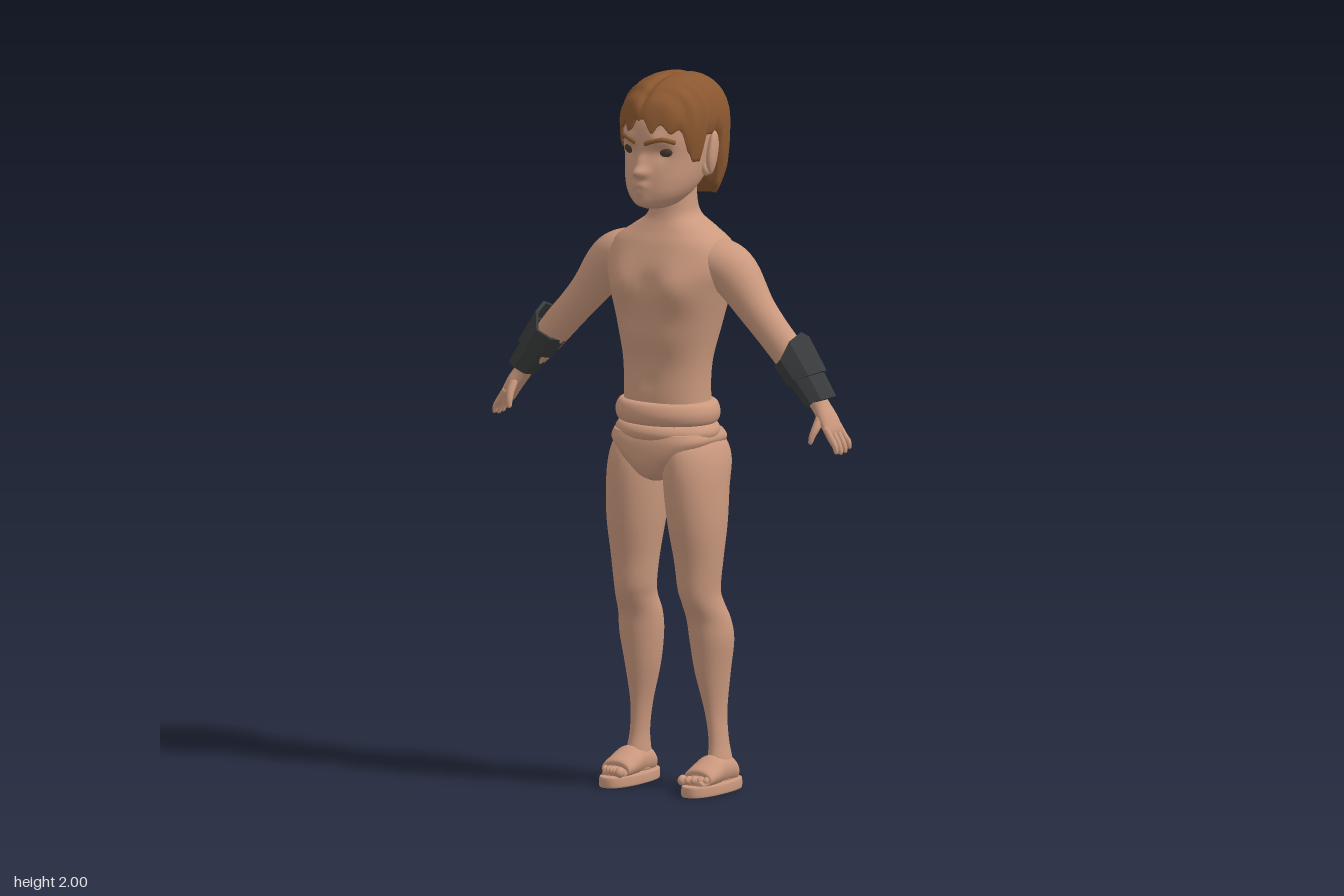
import * as THREE from 'three';

const mat = (name, color, side = THREE.FrontSide) => {
  const m = new THREE.MeshStandardMaterial({ color, side });
  m.name = name;
  return m;
};

// Turns the faces of a closed surface outward
function outward(geo) {
  const p = geo.attributes.position, ix = geo.index.array;
  const [a, b, c] = [0, 1, 2].map(() => new THREE.Vector3());
  let volume = 0;
  for (let i = 0; i < ix.length; i += 3) {
    a.fromBufferAttribute(p, ix[i]); b.fromBufferAttribute(p, ix[i + 1]); c.fromBufferAttribute(p, ix[i + 2]);
    volume += a.dot(b.cross(c));
  }
  if (volume < 0) for (let i = 0; i < ix.length; i += 3) [ix[i], ix[i + 1]] = [ix[i + 1], ix[i]];
  geo.computeVertexNormals();
  return geo;
}

// Skins a list of closed rings of points, with optional end caps
function skin(rings, caps = true) {
  const n = rings[0].length, pos = [], idx = [];
  rings.forEach(r => r.forEach(q => pos.push(...q)));
  for (let i = 0; i < rings.length - 1; i++) for (let j = 0; j < n; j++) {
    const a = i * n + j, b = i * n + (j + 1) % n;
    idx.push(a, b, a + n, b, b + n, a + n);
  }
  if (caps) [0, rings.length - 1].forEach((r, e) => {
    const c = pos.length / 3;
    pos.push(...[0, 1, 2].map(k => rings[r].reduce((s, q) => s + q[k], 0) / n));
    for (let j = 0; j < n; j++) {
      const a = r * n + j, b = r * n + (j + 1) % n;
      if (e) idx.push(a, b, c); else idx.push(b, a, c);
    }
  });
  const g = new THREE.BufferGeometry();
  g.setAttribute('position', new THREE.Float32BufferAttribute(pos, 3));
  g.setIndex(idx);
  return outward(g);
}

// Smoothly interpolates rows of numbers
function smooth(rows, steps) {
  const out = [], at = i => rows[Math.max(0, Math.min(rows.length - 1, i))];
  for (let i = 0; i < rows.length - 1; i++) for (let s = 0; s < steps; s++) {
    const t = s / steps, [a, b, c, d] = [at(i - 1), at(i), at(i + 1), at(i + 2)];
    out.push(b.map((v, k) => 0.5 * (2 * v + (c[k] - a[k]) * t + (2 * a[k] - 5 * v + 4 * c[k] - d[k]) * t * t
      + (3 * v - a[k] - 3 * c[k] + d[k]) * t ** 3)));
  }
  return [...out, at(rows.length - 1)];
}

// Loft of rounded sections [x, y, z, radiusU, radiusV]; frame is 'y', 'z' or 'limb'
function loft(sections, frame = 'y', { n = 28, steps = 5, pow = 2 } = {}) {
  const rows = smooth(sections, steps);
  return skin(rows.map(([x, y, z, ru, rv], i) => {
    const a = rows[Math.max(0, i - 1)], b = rows[Math.min(rows.length - 1, i + 1)];
    const dx = b[0] - a[0], dy = b[1] - a[1], l = Math.hypot(dx, dy) || 1;
    return Array.from({ length: n }, (_, j) => {
      const t = j / n * Math.PI * 2, c = Math.cos(t), s = Math.sin(t);
      const u = ru * Math.sign(c) * Math.abs(c) ** (2 / pow), v = rv * Math.sign(s) * Math.abs(s) ** (2 / pow);
      if (frame === 'y') return [x + u, y, z + v];
      if (frame === 'z') return [x + u, y + v, z];
      return [x - u * dy / l, y + u * dx / l, z + v];
    });
  }));
}

// Upright loft from rows [y, xInner, xOuter, zFront, zBack]
const upright = (rows, opt) => loft(rows.map(([y, x0, x1, f, b]) =>
  [(x0 + x1) / 2, y, (f + b) / 2, (x1 - x0) / 2, (f - b) / 2]), 'y', opt);
const centred = (rows, opt) => upright(rows.map(([y, w, f, b]) => [y, -w, w, f, b]), opt);

// Soft pushes along z: [x, y, z, radius, amount], mirrored in x
function sculpt(geo, bumps) {
  const p = geo.attributes.position;
  const all = bumps.flatMap(b => b[0] ? [b, [-b[0], ...b.slice(1)]] : [b]);
  for (let i = 0; i < p.count; i++) {
    const [x, y, z] = [p.getX(i), p.getY(i), p.getZ(i)];
    let dz = 0;
    for (const [bx, by, bz, r, k] of all)
      dz += k * Math.exp(-((x - bx) ** 2 + (y - by) ** 2 + (z - bz) ** 2) / (r * r));
    p.setZ(i, z + dz);
  }
  geo.computeVertexNormals();
  return geo;
}

const blob = (x, y, z, rx, ry, rz) => new THREE.SphereGeometry(1, 20, 14).scale(rx, ry, rz).translate(x, y, z);

// Faceted cuff with a pointed outer edge; s and e are distances along the forearm
function cuff(s, e, grow, peak) {
  const L = 0.145, t = [0.6, -0.8], u = [0.8, 0.6];
  const ring = (d, g, tip) => Array.from({ length: 8 }, (_, j) => {
    const a = j / 8 * Math.PI * 2, r = 0.053 - 0.012 * d / L + g, c = Math.cos(a);
    const m = d - tip * Math.max(0, c);
    return [0.405 + t[0] * m + u[0] * r * c, 1.247 + t[1] * m + u[1] * r * c, 0.004 + (r + 0.01) * Math.sin(a)];
  });
  const rings = [ring(s, grow - 0.01, peak), ring(s, grow, peak), ring(e, grow, -0.012), ring(e, grow - 0.01, -0.012)];
  const g = skin([...rings, rings[0]], false).toNonIndexed();
  g.computeVertexNormals();
  return g;
}

// Wavy hair with a fringe, sideburns and a long back
function hairGeometry() {
  const edge = [[0, 1.895], [0.3, 1.865], [0.6, 1.87], [0.9, 1.845], [1.1, 1.77], [1.27, 1.77], [1.4, 1.84],
    [1.75, 1.84], [1.9, 1.69], [2.3, 1.655], [3.15, 1.645]];
  const low = a => {
    const k = edge.findIndex(q => q[0] > a), [p, q] = [edge[k - 1], edge[k]];
    return p[1] + (q[1] - p[1]) * (a - p[0]) / (q[0] - p[0]) + (a < 1 ? 0.012 * Math.sin(a * 17) : 0);
  };
  const N = 120, R = 40, rings = [];
  for (let i = 0; i <= R + 1; i++) rings.push(Array.from({ length: N }, (_, j) => {
    const t = j / N * Math.PI * 2, a = Math.min(t, Math.PI * 2 - t), v = Math.max(0.02, Math.min(1, i / R));
    let y = 2 - (2 - low(a)) * v ** 1.7;
    let s = y > 1.85 ? (1 - ((y - 1.85) / 0.151) ** 2.3) ** (1 / 2.3) : 1 - 0.12 * ((1.85 - y) / 0.2) ** 1.5;
    const back = (1 - Math.cos(a)) / 2;
    s *= 1 - (0.02 + 0.2 * back * back) * Math.max(0, (v - 0.82) / 0.18) ** 2;
    let x = 0.135 * s * Math.sin(t), z = -0.007 + 0.182 * s * Math.cos(t);
    const wave = 1 + 0.022 * Math.sin(z * 160 + Math.abs(x) * 75 + y * 30) * Math.min(1, s * 1.3);
    if (y > 1.85) y -= 0.008 * Math.exp(-((x / 0.012) ** 2));
    const k = i > R ? 0.8 : wave;
    return [x * k, y + (i > R ? 0.012 : 0), z * k];
  }));
  return skin(rings);
}

export function createModel() {
  const model = new THREE.Group();
  const skinTone = mat('skin', 0xcb997e), hair = mat('hair brown', 0x8a5730, THREE.DoubleSide);
  const dark = mat('cuff charcoal', 0x3a3b3c, THREE.DoubleSide), eye = mat('eye brown', 0x4a3a30);
  const add = (name, geo, m = skinTone) => {
    const mesh = new THREE.Mesh(geo, m);
    mesh.name = name;
    model.add(mesh);
  };
  const pair = (name, geo, m) => {
    const g = geo.clone().scale(-1, 1, 1);
    if (!g.index) g.setIndex([...Array(g.attributes.position.count).keys()]);
    const ix = g.index.array;
    for (let i = 0; i < ix.length; i += 3) [ix[i], ix[i + 1]] = [ix[i + 1], ix[i]];
    add(name + 'Left', geo, m);
    add(name + 'Right', g, m);
  };

  // Torso and neck
  add('torso', sculpt(centred([[1.0, 0.13, 0.12, -0.08], [1.1, 0.124, 0.125, -0.07], [1.2, 0.13, 0.118, -0.066],
    [1.3, 0.15, 0.13, -0.095], [1.4, 0.175, 0.137, -0.115], [1.47, 0.192, 0.128, -0.12], [1.53, 0.175, 0.105, -0.115],
    [1.57, 0.12, 0.082, -0.1], [1.605, 0.072, 0.066, -0.08], [1.65, 0.062, 0.06, -0.066], [1.72, 0.062, 0.06, -0.066]],
  { n: 56, steps: 6, pow: 2.3 }), [[0.085, 1.42, 0.12, 0.06, 0.022], [0, 1.43, 0.13, 0.03, -0.006],
    [0, 1.4, -0.12, 0.06, 0.015], [0.05, 1.27, 0.13, 0.05, 0.006], [0, 1.15, 0.12, 0.02, -0.006]]));

  // Waistband rolls and briefs
  for (const [name, top, h] of [['waistbandUpper', 1.095, 0.066], ['waistbandLower', 1.035, 0.05]])
    add(name, centred([[top, 0.12, 0.12, -0.07], [top - 0.006, 0.142, 0.143, -0.093], [top - h / 2, 0.152, 0.154, -0.102],
      [top - h + 0.006, 0.144, 0.146, -0.096], [top - h, 0.12, 0.12, -0.07]], { n: 40 }));
  add('briefs', centred([[1.01, 0.143, 0.14, -0.095], [0.985, 0.15, 0.15, -0.112], [0.95, 0.12, 0.155, -0.118],
    [0.92, 0.08, 0.152, -0.11], [0.89, 0.045, 0.135, -0.085], [0.872, 0.022, 0.1, -0.04]], { n: 40, pow: 3 }));

  // Legs
  pair('leg', upright([[1.0, 0.03, 0.135, 0.1, -0.07], [0.97, 0.02, 0.155, 0.13, -0.1], [0.92, 0.012, 0.17, 0.141, -0.108],
    [0.85, 0.015, 0.176, 0.138, -0.085], [0.75, 0.025, 0.178, 0.125, -0.065], [0.65, 0.04, 0.17, 0.105, -0.045],
    [0.57, 0.05, 0.162, 0.096, -0.038], [0.53, 0.056, 0.164, 0.084, -0.05], [0.48, 0.055, 0.172, 0.06, -0.074],
    [0.42, 0.058, 0.175, 0.05, -0.086], [0.33, 0.07, 0.162, 0.034, -0.08], [0.22, 0.097, 0.15, 0.012, -0.068],
    [0.14, 0.107, 0.155, 0.006, -0.066], [0.08, 0.105, 0.165, 0.015, -0.075], [0.03, 0.105, 0.165, 0.015, -0.075]]));

  // Feet, toes and sandals
  const along = rows => loft(rows.map(([z, r, top]) => [0.136, (top + 0.02) / 2, z, r, (top - 0.02) / 2]), 'z');
  pair('foot', along([[-0.092, 0.015, 0.06], [-0.08, 0.03, 0.08], [-0.05, 0.036, 0.1], [0, 0.037, 0.1],
    [0.05, 0.041, 0.075], [0.085, 0.04, 0.056], [0.105, 0.03, 0.045]]));
  for (let i = 0; i < 5; i++)
    pair('toe' + i, blob(0.104 + i * 0.016, 0.045, 0.108 - i * 0.007, i ? 0.009 : 0.012, i ? 0.012 : 0.015, 0.017));
  pair('sandalStrap', along([[0.012, 0.04, 0.09], [0.015, 0.047, 0.104], [0.05, 0.049, 0.088],
    [0.08, 0.047, 0.073], [0.083, 0.04, 0.06]]));
  pair('sandalSole', upright([[0.002, 0.095, 0.178, 0.128, -0.103], [0.004, 0.088, 0.185, 0.135, -0.11],
    [0.028, 0.088, 0.185, 0.135, -0.11], [0.032, 0.093, 0.18, 0.13, -0.105]], { n: 36, pow: 2.4 }));

  // Arms with palms, fingers and thumbs
  pair('arm', loft([[0.08, 1.5, -0.005, 0.05, 0.07], [0.15, 1.483, -0.005, 0.066, 0.078], [0.205, 1.452, -0.003, 0.068, 0.07],
    [0.275, 1.368, 0, 0.054, 0.052], [0.33, 1.308, 0, 0.049, 0.046], [0.385, 1.25, 0, 0.047, 0.044], [0.44, 1.185, 0.003, 0.04, 0.04],
    [0.485, 1.127, 0.004, 0.026, 0.028], [0.515, 1.088, 0.006, 0.022, 0.037], [0.536, 1.054, 0.006, 0.016, 0.04],
    [0.543, 1.04, 0.006, 0.008, 0.034]], 'limb'));
  [0.038, 0.017, -0.005, -0.026].forEach((z, i) => {
    const d = [0.004, 0, 0.002, 0.01][i];
    pair('finger' + i, loft([[0.53, 1.065, z, 0.009, 0.009], [0.55, 1.035, z, 0.01, 0.009],
      [0.564, 1.01 + d, z, 0.0085, 0.008], [0.568, 0.993 + d, z, 0.006, 0.006], [0.568, 0.989 + d, z, 0.001, 0.001]],
    'limb', { n: 10, steps: 3 }));
  });
  pair('thumb', loft([[0.508, 1.095, 0.026, 0.012, 0.013], [0.508, 1.065, 0.047, 0.012, 0.013], [0.503, 1.04, 0.061, 0.009, 0.009],
    [0.5, 1.022, 0.065, 0.006, 0.006], [0.499, 1.018, 0.066, 0.001, 0.001]], 'limb', { n: 10, steps: 3 }));

  // Forearm cuffs
  pair('cuffLower', cuff(0.03, 0.145, 0, 0.02), dark);
  pair('cuffUpper', cuff(0, 0.07, 0.007, 0.042), dark);

  // Head with sculpted nose, sockets, brows, lips and chin
  add('head', sculpt(centred([[1.637, 0.03, 0.125, 0.02], [1.65, 0.055, 0.15, 0], [1.68, 0.083, 0.16, -0.04],
    [1.72, 0.1, 0.16, -0.08], [1.78, 0.11, 0.154, -0.11], [1.84, 0.115, 0.158, -0.12], [1.9, 0.11, 0.145, -0.12],
    [1.95, 0.075, 0.09, -0.08]], { n: 96, steps: 10, pow: 2.2 }), [
    [0, 1.747, 0.16, 0.018, 0.028], [0, 1.775, 0.16, 0.017, 0.016], [0.014, 1.742, 0.158, 0.012, 0.01],
    [0.048, 1.8, 0.135, 0.026, -0.016], [0.045, 1.835, 0.145, 0.022, 0.01], [0, 1.709, 0.162, 0.015, 0.008],
    [0.016, 1.707, 0.16, 0.012, 0.005], [0, 1.69, 0.162, 0.016, 0.007], [0, 1.699, 0.165, 0.007, -0.007],
    [0, 1.66, 0.15, 0.025, 0.008]]));
  pair('eye', blob(0.049, 1.801, 0.118, 0.03, 0.02, 0.016), eye);
  pair('eyebrow', new THREE.TubeGeometry(new THREE.CatmullRomCurve3([[0.014, 1.824, 0.16], [0.035, 1.832, 0.158],
    [0.06, 1.838, 0.147], [0.086, 1.828, 0.118]].map(q => new THREE.Vector3(...q))), 14, 0.0065, 8), hair);
  const ear = blob(0, 0, 0, 0.015, 0.062, 0.032);
  sculpt(ear, [[0, 0.03, 0, 0.04, -0.012]]);
  pair('ear', ear.rotateY(0.35).rotateZ(-0.1).translate(0.123, 1.785, -0.008));
  pair('earlobe', blob(0.114, 1.74, 0.006, 0.012, 0.018, 0.014));

  // Hair
  add('hair', hairGeometry(), hair);
  return model;
}
